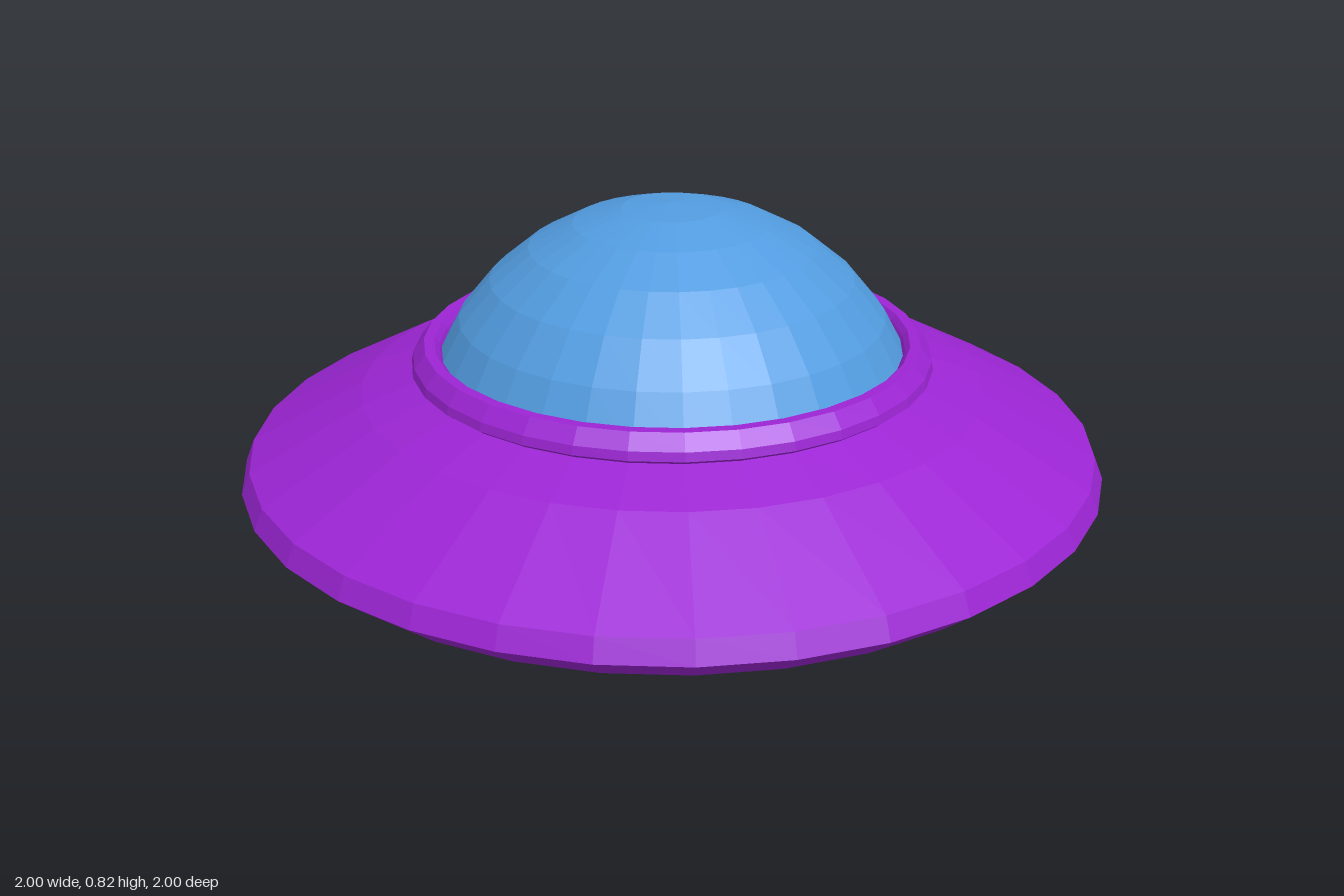
import * as THREE from 'three';

const SIDES = 32;

function material(name, color) {
  const m = new THREE.MeshStandardMaterial({ color, flatShading: true });
  m.name = name;
  return m;
}

// Surface of revolution from [radius, height] pairs, listed bottom to top
function lathe(name, profile, mat) {
  const points = profile.map(([r, y]) => new THREE.Vector2(r, y));
  const mesh = new THREE.Mesh(new THREE.LatheGeometry(points, SIDES), mat);
  mesh.name = name;
  return mesh;
}

export function createModel() {
  const purple = material('purple hull', 0x9c25d4);
  const blue = material('blue glass', 0x529ce0);
  const grey = material('dark grey', 0x646464);
  const saucer = new THREE.Group();
  saucer.name = 'flyingSaucer';

  // Flat base plate with a shallow bevel
  saucer.add(lathe('basePlate', [[0, 0], [0.56, 0.005], [0.7, 0.037]].map(([r, y]) => [r, r < 0.6 ? 0 : y]), grey));

  // Disc body with a narrow outer edge
  saucer.add(lathe('hull', [
    [0.7, 0.037], [0.92, 0.145], [1, 0.21], [0.98, 0.26], [0.72, 0.4], [0.59, 0.446],
  ], purple));

  // Raised collar holding the dome
  saucer.add(lathe('collar', [
    [0.59, 0.446], [0.602, 0.455], [0.598, 0.475], [0.572, 0.508], [0.548, 0.508], [0.537, 0.495], [0.525, 0.47],
  ], purple));

  // Glass dome, a cap of a sphere
  const dome = new THREE.Mesh(
    new THREE.SphereGeometry(0.59, SIDES, 6, 0, Math.PI * 2, 0, Math.PI * 6 / 16), blue);
  dome.name = 'dome';
  dome.position.y = 0.235;
  saucer.add(dome);

  return saucer;
}
